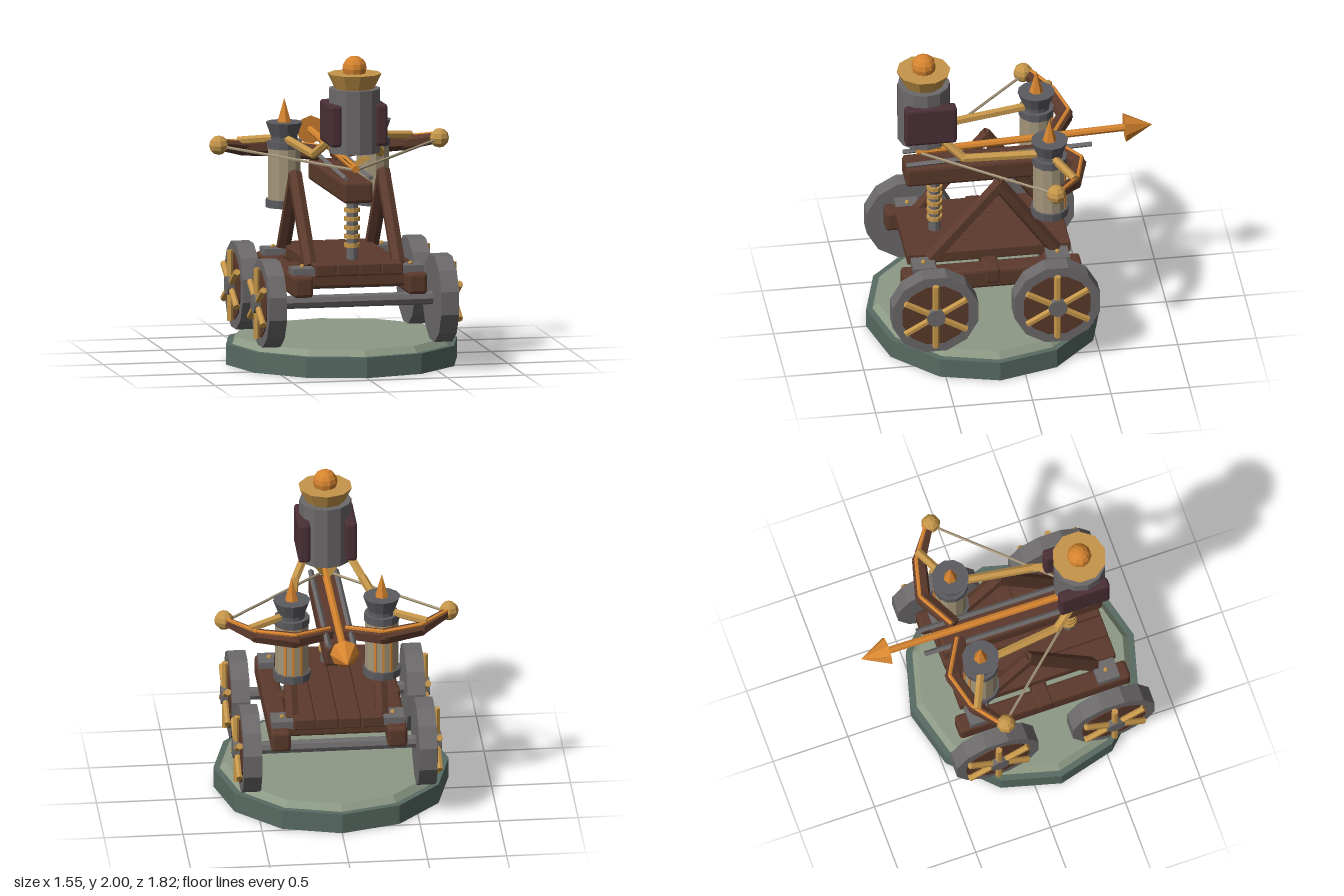
import * as THREE from 'three';
import { RoundedBoxGeometry } from 'three/addons/geometries/RoundedBoxGeometry.js';

const paint = (name, color) => {
  const m = new THREE.MeshStandardMaterial({ color, flatShading: true });
  m.name = name;
  return m;
};

export function createModel() {
  const wood = paint('dark wood', 0x5c3a2c);
  const iron = paint('iron', 0x6c696a);
  const darkIron = paint('dark iron', 0x5c5c60);
  const brass = paint('brass', 0xc5964a);
  const copper = paint('copper', 0xd6842f);
  const rope = paint('rope', 0xa4967a);
  const leather = paint('plum leather', 0x4b3036);
  const baseGreen = paint('base green', 0x586b63);
  const topGreen = paint('top green', 0x8d9a85);
  const vaneMat = paint('vane brass', 0xa07a38);
  vaneMat.side = THREE.DoubleSide;

  const model = new THREE.Group();
  model.name = 'ballista';

  const add = (name, geo, mat, x = 0, y = 0, z = 0, parent = model) => {
    const m = new THREE.Mesh(geo, mat);
    m.name = name;
    m.position.set(x, y, z);
    parent.add(m);
    return m;
  };
  // Upright cylinder or frustum between two heights
  const drum = (name, mat, x, z, y0, y1, rBottom, rTop = rBottom, sides = 12) =>
    add(name, new THREE.CylinderGeometry(rTop, rBottom, y1 - y0, sides), mat, x, (y0 + y1) / 2, z);
  // Rod between two points
  const rod = (name, mat, a, b, r0, r1 = r0, sides = 6, parent = model) => {
    const p = new THREE.Vector3(...a), q = new THREE.Vector3(...b);
    const d = q.clone().sub(p);
    const m = add(name, new THREE.CylinderGeometry(r1, r0, d.length(), sides), mat, 0, 0, 0, parent);
    m.position.copy(p).add(q).multiplyScalar(0.5);
    m.quaternion.setFromUnitVectors(new THREE.Vector3(0, 1, 0), d.normalize());
    return m;
  };
  const block = (name, mat, w, h, d, x, y, z, r = 0.015) =>
    add(name, new RoundedBoxGeometry(w, h, d, 1, r), mat, x, y, z);

  // Stand
  const baseZ = 0.165;
  drum('standBase', baseGreen, 0, baseZ, 0, 0.13, 0.745);
  drum('standTop', topGreen, 0, baseZ, 0.13, 0.17, 0.705, 0.67);

  // Wheels and axles
  const axleY = 0.445;
  for (const z of [0.56, -0.215]) {
    rod('axle', iron, [-0.5, axleY, z], [0.5, axleY, z], 0.042, 0.042, 8);
    for (const s of [-1, 1]) {
      const wheel = new THREE.Group();
      wheel.name = 'wheel';
      wheel.position.set(s * 0.555, axleY, z);
      wheel.rotation.z = -s * Math.PI / 2;
      model.add(wheel);
      const disc = (name, mat, r, h, y) => {
        const m = add(name, new THREE.CylinderGeometry(r, r, h, 12), mat, 0, y, 0, wheel);
        m.rotation.y = Math.PI / 12;
      };
      disc('wheelRim', iron, 0.282, 0.115, 0);
      disc('wheelFace', wood, 0.218, 0.008, 0.06);
      disc('wheelHub', iron, 0.06, 0.05, 0.08);
      for (let i = 0; i < 6; i++) {
        const a = i * Math.PI / 3;
        rod('spoke', brass, [0.03 * Math.cos(a), 0.078, 0.03 * Math.sin(a)],
          [0.225 * Math.cos(a), 0.078, 0.225 * Math.sin(a)], 0.022, 0.022, 6, wheel);
      }
    }
  }

  // Chassis beams, cross beam, planks and corner brackets
  for (const s of [-1, 1]) {
    block('sideBeam', wood, 0.125, 0.135, 1.14, s * 0.368, 0.563, 0.17, 0.02);
    for (const z of [0.598, -0.255]) {
      add('cornerBracket', new THREE.BoxGeometry(0.14, 0.05, 0.145), iron, s * 0.35, 0.647, z);
      add('rivet', new THREE.SphereGeometry(0.016, 6, 4), brass, s * 0.35, 0.677, z);
    }
  }
  block('crossBeam', wood, 0.87, 0.11, 0.1, 0, 0.583, 0.17);
  for (const z of [0.56, -0.215]) block('innerCrossBeam', wood, 0.66, 0.1, 0.1, 0, 0.585, z);
  for (let i = 0; i < 4; i++) {
    block('deckPlank', wood, 0.138, 0.075, 1.04, (i - 1.5) * 0.143, 0.657, 0.17, 0.008);
  }

  // A-frames
  for (const s of [-1, 1]) {
    rod('rearLeg', wood, [s * 0.285, 0.66, 0.54], [s * 0.285, 1.19, 0.09], 0.046);
    rod('frontLeg', wood, [s * 0.285, 0.66, -0.25], [s * 0.285, 1.19, 0.12], 0.046);
  }

  // Spring post
  drum('springPost', iron, 0, 0.475, 0.68, 1.09, 0.037, 0.037, 8);
  for (let i = 0; i < 5; i++) {
    const y = 0.785 + i * 0.056;
    drum('springCoil', brass, 0, 0.475, y - 0.013, y + 0.013, 0.05, 0.05, 10);
  }

  // Stock and tilted rails
  block('stock', wood, 0.19, 0.135, 1.055, 0, 1.143, 0.142, 0.02);
  for (const s of [-1, 1]) {
    rod('rail', iron, [s * 0.08, 1.235, 0.665], [s * 0.08, 1.285, -0.515], 0.018, 0.018, 4);
  }

  // Bolt
  rod('boltShaft', copper, [0, 1.282, 0.59], [0, 1.337, -0.74], 0.024, 0.024, 8);
  rod('boltHead', copper, [0, 1.336, -0.735], [0, 1.343, -0.91], 0.093, 0.001, 8);
  const vane = new THREE.Shape([
    new THREE.Vector2(0.42, 0.01), new THREE.Vector2(0.58, 0.01),
    new THREE.Vector2(0.655, 0.115), new THREE.Vector2(0.48, 0.1)]);
  for (const s of [-1, 1]) {
    const m = add('boltVane', new THREE.ShapeGeometry(vane), vaneMat, 0, 1.287, 0);
    m.rotation.order = 'ZYX';
    m.rotation.set(0, -Math.PI / 2, -s * 0.85);
  }

  for (const s of [-1, 1]) {
    // Bow limb with inlay along its upper back edge
    const limb = [[0.05, 1.26, -0.27, 0.05], [0.28, 1.28, -0.4, 0.052],
      [0.52, 1.295, -0.34, 0.047], [0.7, 1.34, -0.215, 0.034]];
    for (let i = 0; i < 3; i++) {
      const [a, b] = [limb[i], limb[i + 1]];
      rod('bowLimb', wood, [s * a[0], a[1], a[2]], [s * b[0], b[1], b[2]], a[3], b[3]);
      if (i < 2) add('limbJoint', new THREE.SphereGeometry(b[3], 6, 4), wood, s * b[0], b[1], b[2]);
      rod('limbInlay', copper, [s * a[0], a[1] + a[3] - 0.008, a[2] - 0.02],
        [s * b[0], b[1] + b[3] - 0.008, b[2] - 0.02], 0.013);
    }
    add('limbTip', new THREE.SphereGeometry(0.062, 8, 6), brass, s * 0.712, 1.343, -0.195);
    rod('limbBrace', brass, [s * 0.3, 1.375, -0.215], [s * 0.56, 1.345, -0.335], 0.027);
    rod('bowString', rope, [s * 0.7, 1.335, -0.195], [0, 1.275, 0.58], 0.009, 0.009, 5);

    // Torsion barrel
    const x = s * 0.285, z = -0.215;
    drum('barrelFoot', darkIron, x, z, 0.935, 0.985, 0.12);
    drum('barrelRope', rope, x, z, 0.985, 1.31, 0.105);
    drum('barrelBand', darkIron, x, z, 1.31, 1.36, 0.112);
    drum('barrelNeck', darkIron, x, z, 1.36, 1.39, 0.085);
    drum('barrelCup', darkIron, x, z, 1.385, 1.475, 0.085, 0.118);
    drum('barrelSpike', copper, x, z, 1.475, 1.625, 0.045, 0.001, 6);
    for (const a of [-0.5, 0, 0.5]) {
      const strip = add('barrelStrip', new THREE.BoxGeometry(0.014, 0.325, 0.008), copper,
        x + 0.104 * Math.sin(a), 1.147, z - 0.104 * Math.cos(a));
      strip.rotation.y = -a;
    }

    // Gunner's arm reaching to the barrel
    rod('upperArm', brass, [s * 0.14, 1.45, 0.45], [s * 0.215, 1.345, 0.32], 0.028);
    add('elbow', new THREE.SphereGeometry(0.029, 6, 5), brass, s * 0.215, 1.345, 0.32);
    rod('forearm', brass, [s * 0.215, 1.345, 0.32], [s * 0.283, 1.375, -0.19], 0.028);

    // Gunner's side plate
    block('sidePlate', leather, 0.075, 0.265, 0.33, s * 0.148, 1.573, 0.523, 0.018);
  }

  // Gunner's body
  drum('gunnerBody', iron, 0, 0.545, 1.39, 1.795, 0.165);
  drum('gunnerCollar', brass, 0, 0.545, 1.795, 1.89, 0.125, 0.172, 10);
  add('gunnerHead', new THREE.SphereGeometry(0.078, 10, 8), copper, 0, 1.922, 0.545);

  return model;
}
